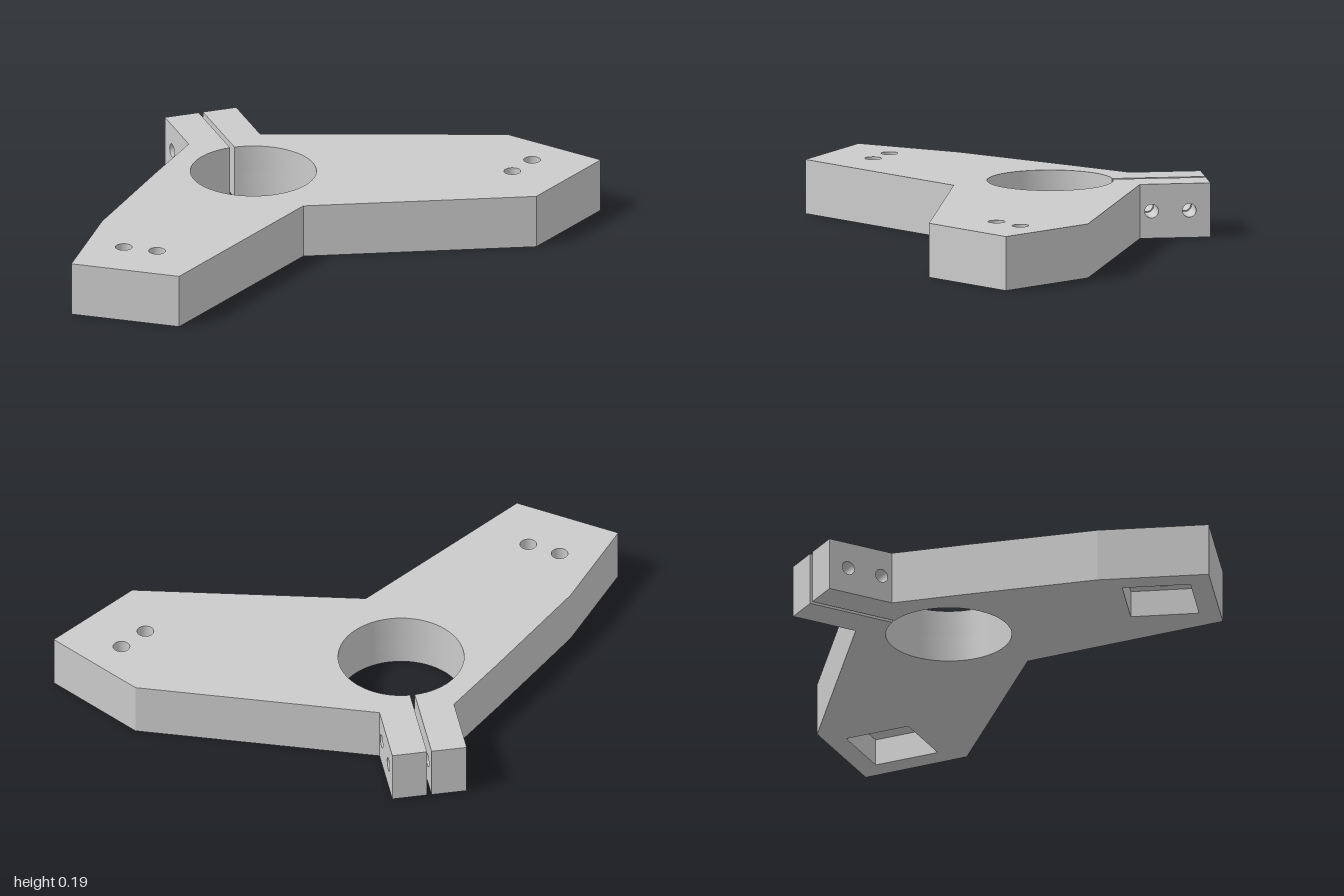
import * as THREE from 'three';
import { toCreasedNormals } from 'three/addons/utils/BufferGeometryUtils.js';

const HEIGHT = 0.187, POCKET = 0.094;      // plate thickness, underside pocket depth
const BORE = { x: -0.148, z: -0.117, r: 0.215 };
const SLIT = 0.008;                        // half width of the clamp slit
const EAR_FRONT = -0.409, EAR_BACK = -0.652;

// End of each arm: middle of its bolt pair and direction of the end face (x, z)
const ARMS = [
  { x: 0.732, z: 0.145, dx: 0.81, dz: -0.586 },
  { x: -0.735, z: 0.385, dx: 0.81, dz: 0.586 },
];

// Plan outline running from one slit side round both arms to the other
const OUTLINE = [
  [BORE.x + SLIT, EAR_FRONT], [-0.02, EAR_FRONT], [0.774, -0.123], [1, 0.19],
  [0.688, 0.412], [-0.088, 0.223], [-0.69, 0.652], [-1, 0.427], [-0.778, 0.116],
  [-0.462, -0.219], [-0.278, EAR_FRONT], [BORE.x - SLIT, EAR_FRONT],
];

function circlePath(x, y, r) {
  const path = new THREE.Path();
  path.absarc(x, y, r, 0, Math.PI * 2, false);
  return path;
}

// Plan points are (x, z); shapes use y = -z
function planShape() {
  const shape = new THREE.Shape(OUTLINE.map(([x, z]) => new THREE.Vector2(x, -z)));
  const gap = Math.asin(SLIT / BORE.r);
  shape.absarc(BORE.x, -BORE.z, BORE.r, Math.PI / 2 + gap, Math.PI * 2.5 - gap, false);
  return shape;
}

function extrude(shape, depth) {
  return new THREE.ExtrudeGeometry(shape, { depth, bevelEnabled: false, curveSegments: 32 });
}

export function createModel() {
  const group = new THREE.Group();
  const metal = new THREE.MeshStandardMaterial({ color: 0xcbcbcb });
  metal.name = 'grey metal';

  // Smooth round walls, crisp arm corners
  const add = (name, geometry) => {
    const mesh = new THREE.Mesh(toCreasedNormals(geometry, 0.115), metal);
    mesh.name = name;
    group.add(mesh);
  };

  // Lower layer with a square pocket under each arm end
  const lower = planShape();
  const half = 0.117;
  for (const a of ARMS) {
    const corners = [[-1, 1], [1, 1], [1, -1], [-1, -1]].map(([u, v]) => new THREE.Vector2(
      a.x + half * (u * a.dx - v * a.dz), -(a.z + half * (u * a.dz + v * a.dx))));
    lower.holes.push(new THREE.Path(corners));
  }
  add('lowerPlate', extrude(lower, POCKET).rotateX(-Math.PI / 2));

  // Upper layer with two bolt holes in each arm end
  const upper = planShape();
  for (const a of ARMS) {
    for (const s of [-0.059, 0.059]) {
      upper.holes.push(circlePath(a.x + s * a.dx, -(a.z + s * a.dz), 0.0285));
    }
  }
  add('upperPlate', extrude(upper, HEIGHT - POCKET).rotateX(-Math.PI / 2).translate(0, POCKET, 0));

  // Clamp ears, drilled crosswise for two pinch bolts
  for (const [name, x0, x1] of [['leftClampEar', BORE.x + SLIT, -0.02], ['rightClampEar', -0.278, BORE.x - SLIT]]) {
    const side = new THREE.Shape([[EAR_BACK, 0], [EAR_FRONT, 0], [EAR_FRONT, HEIGHT], [EAR_BACK, HEIGHT]]
      .map(([z, y]) => new THREE.Vector2(z, y)));
    for (const z of [-0.449, -0.579]) side.holes.push(circlePath(z, HEIGHT / 2, 0.0235));
    add(name, extrude(side, x1 - x0).rotateY(-Math.PI / 2).translate(x1, 0, 0));
  }

  return group;
}
